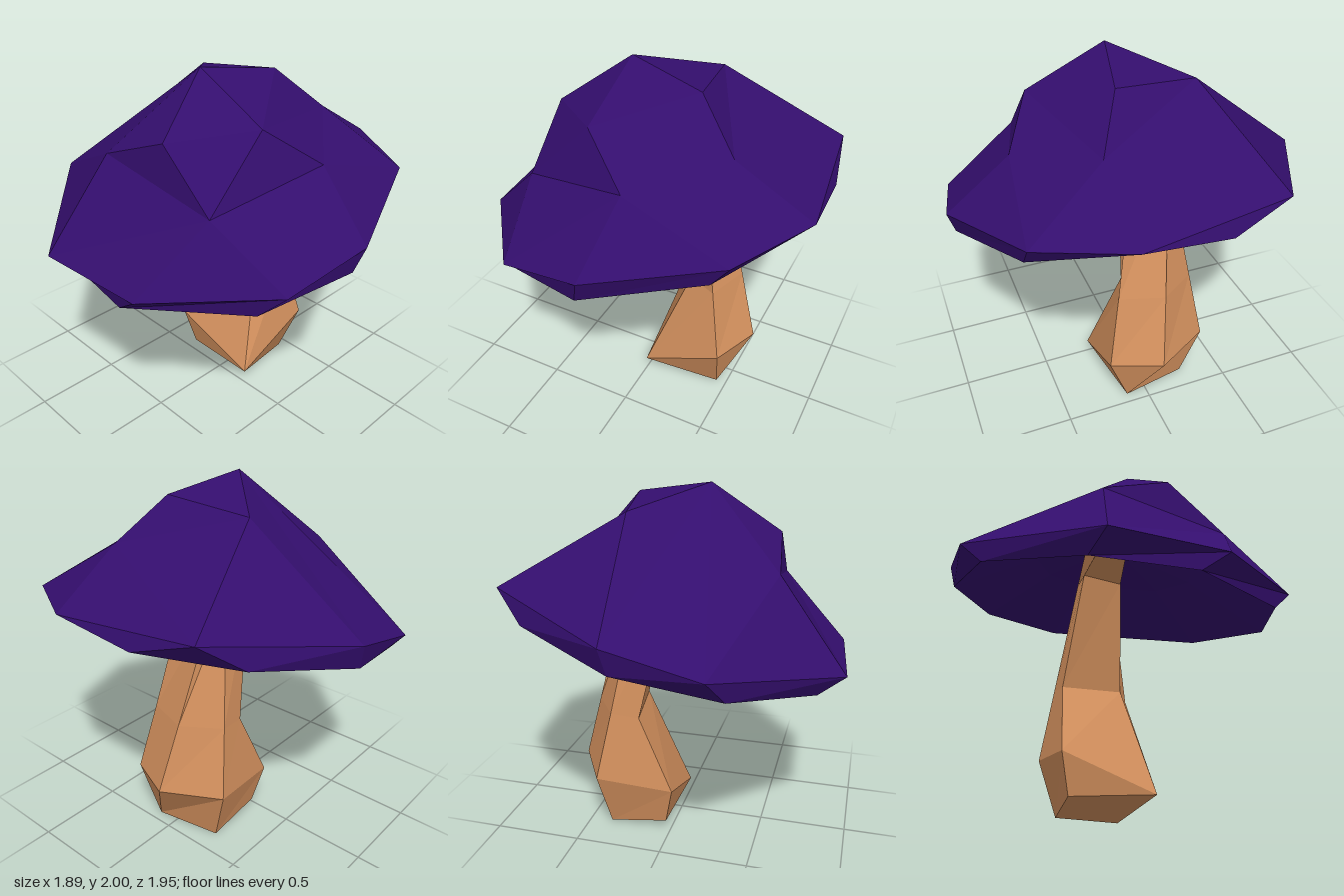
import * as THREE from 'three';

// Faceted mesh from a list of triangles, each three [x, y, z] points
function facetMesh(name, tris, material) {
  const geo = new THREE.BufferGeometry();
  geo.setAttribute('position', new THREE.Float32BufferAttribute(tris.flat(2), 3));
  geo.computeVertexNormals();
  const mesh = new THREE.Mesh(geo, material);
  mesh.name = name;
  return mesh;
}

// Triangles joining rings of equal length, each counter-clockwise from above
function loft(rings) {
  const tris = [];
  for (let r = 0; r + 1 < rings.length; r++) {
    const lo = rings[r], hi = rings[r + 1], n = lo.length;
    for (let k = 0; k < n; k++) {
      const j = (k + 1) % n;
      tris.push([lo[k], lo[j], hi[j]], [lo[k], hi[j], hi[k]]);
    }
  }
  // drop triangles collapsed by shared corners
  return tris.filter(([a, b, c]) => a !== b && b !== c && a !== c);
}

export function createModel() {
  const purple = new THREE.MeshStandardMaterial({ color: 0x340e6e, flatShading: true });
  purple.name = 'cap purple';
  const tan = new THREE.MeshStandardMaterial({ color: 0xd4915e, flatShading: true });
  tan.name = 'stem tan';
  const model = new THREE.Group();
  model.name = 'mushroom';

  // Cap: widest rim A to I, then the crown's lumps and dents
  const p = {
    A: [-0.95, 1.09, -0.31], B: [-0.9, 1.08, 0.33], C: [-0.44, 1.16, 0.89],
    D: [0.04, 1.27, 0.97], E: [0.69, 1.41, 0.71], F: [0.94, 1.45, 0.26],
    G: [0.84, 1.5, -0.56], H: [0.13, 1.37, -0.98], I: [-0.36, 1.24, -0.95],
    T: [-0.16, 2, 0.02], K: [0.28, 1.93, 0.13], L: [0.52, 1.7, 0.28],
    V: [0.2, 1.88, -0.34], P: [-0.53, 1.73, 0.15], Q: [-0.53, 1.44, 0.47],
    R: [-0.58, 1.58, -0.24], S: [-0.17, 1.79, 0.46], U: [0.1, 1.58, 0.63],
  };
  const crownFaces = 'TSK SLK SUL TPS PQS QUS TRP RQP RAQ ABQ QBC QCU UCD UDE UEL '
    + 'LEF LFG LGV KLV TKV TVH VGH THI TIR RIA';
  const crown = crownFaces.split(' ').map((f) => [...f].map((key) => p[key]));
  model.add(facetMesh('capCrown', crown, purple));

  // Rolled lower lip and hollow underside
  const rim = [...'ABCDEFGHI'].map((key) => p[key]);
  const lip = [
    [-0.81, 1, -0.37], [-0.87, 0.97, 0.18], [-0.5, 1.03, 0.76],
    [0, 1.13, 0.93], [0.6, 1.29, 0.71], [0.91, 1.39, -0.22],
    [0.65, 1.35, -0.7], [0.1, 1.23, -0.95], [-0.43, 1.11, -0.84],
  ];
  const apex = [-0.02, 1.56, -0.02];
  const hollow = lip.map((v) => v.map((c, i) => (c + apex[i]) / 2 + (i === 1 ? 0.06 : 0)));
  model.add(facetMesh('capUnderside', loft([lip.map(() => apex), hollow, lip, rim]), purple));

  // Stem: five-sided, swollen foot, kinked on the right, bending inside the cap
  const toe = [0, 0.08, 0.22], heel = [0.44, 0, 0.12];
  const foot = [toe, heel, heel, [0.37, 0, -0.26], [0.03, 0.05, -0.26]];
  const bulge = [toe, [0.48, 0.32, 0.24], [0.6, 0.33, -0.04], [0.42, 0.33, -0.36], [-0.02, 0.28, -0.31]];
  const kink = [[0.23, 0.73, 0.08], [0.4, 0.73, 0.16], [0.48, 0.73, -0.09], [0.34, 0.73, -0.3], [0.18, 0.71, -0.28]];
  const neck = [[0.08, 1.38, 0.04], [0.27, 1.4, 0.04], [0.28, 1.4, -0.17], [0.21, 1.4, -0.2], [0.03, 1.38, -0.2]];
  const bend = [[-0.1, 1.45, 0.02], [-0.05, 1.6, 0.02], [-0.02, 1.65, -0.15], [-0.1, 1.6, -0.2], [-0.2, 1.47, -0.15]];
  const stem = loft([foot, bulge, kink, neck, bend]);
  stem.push([foot[0], foot[3], foot[1]], [foot[0], foot[4], foot[3]]);
  for (let k = 1; k < 4; k++) stem.push([bend[0], bend[k], bend[k + 1]]);
  model.add(facetMesh('stem', stem, tan));

  return model;
}
